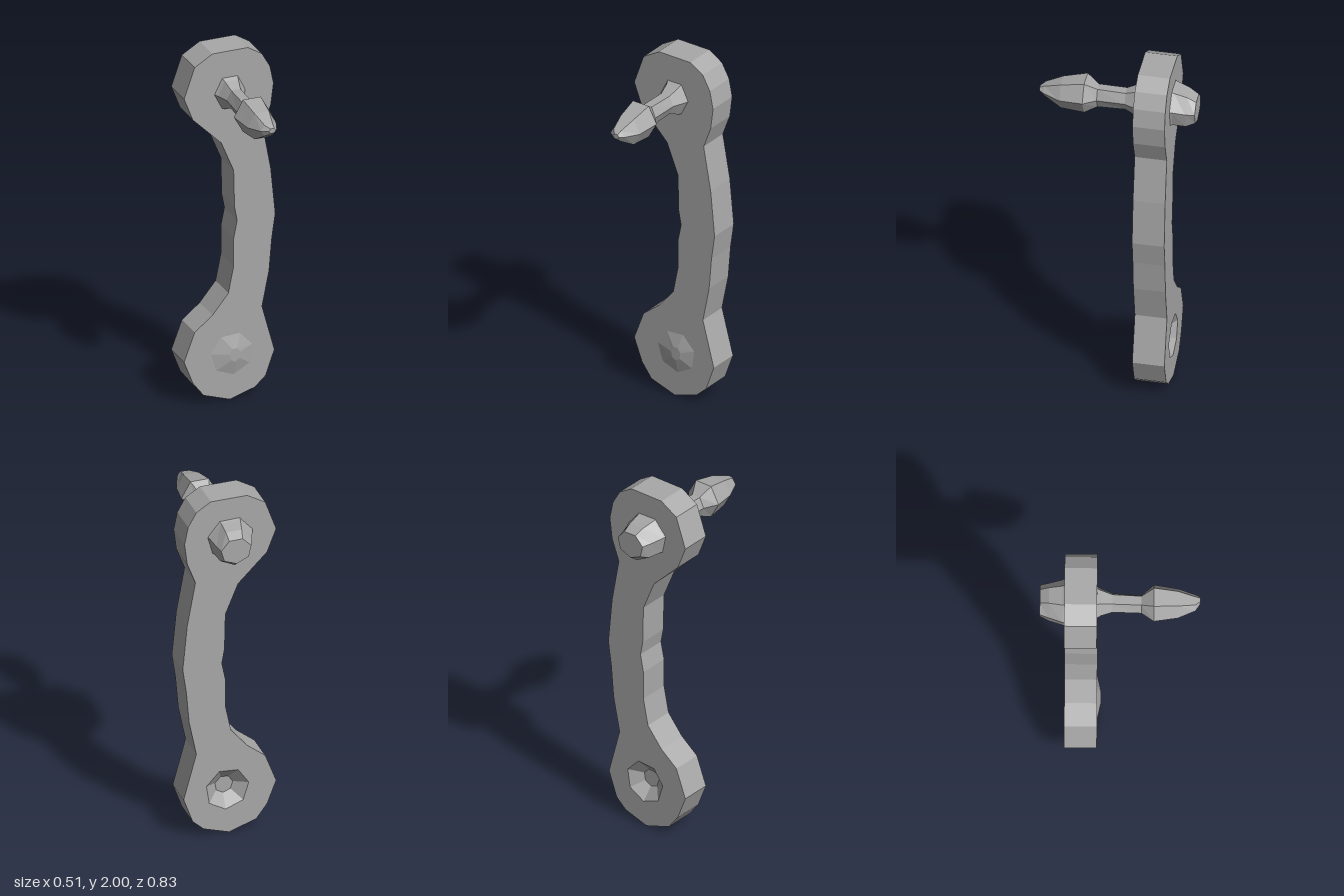
import * as THREE from 'three';

const grey = new THREE.MeshStandardMaterial({ color: 0xa8a8a8 });
grey.name = 'grey';

// Points of one faceted ring: [z, xMin, xMax, yMin, yMax]
function ringPoints([z, x0, x1, y0, y1], sides, turn) {
  return Array.from({ length: sides }, (_, i) => {
    const a = (i / sides) * Math.PI * 2 + turn;
    return [(x0 + x1) / 2 + ((x1 - x0) / 2) * Math.cos(a), (y0 + y1) / 2 + ((y1 - y0) / 2) * Math.sin(a), z];
  });
}

// Flat-faceted solid through a series of rings, capped at both ends
function loft(name, rings, sides, turn = 0) {
  const loops = rings.map((r) => ringPoints(r, sides, turn));
  const pos = [];
  const tri = (a, b, c) => pos.push(...a, ...b, ...c);
  const last = loops[loops.length - 1];
  for (let j = 0; j < sides; j++) {
    const k = (j + 1) % sides;
    for (let i = 0; i + 1 < loops.length; i++) {
      tri(loops[i][j], loops[i][k], loops[i + 1][k]);
      tri(loops[i][j], loops[i + 1][k], loops[i + 1][j]);
    }
    if (j > 0 && k > 0) {
      tri(loops[0][0], loops[0][k], loops[0][j]);
      tri(last[0], last[j], last[k]);
    }
  }
  const geo = new THREE.BufferGeometry();
  geo.setAttribute('position', new THREE.Float32BufferAttribute(pos, 3));
  geo.computeVertexNormals();
  const mesh = new THREE.Mesh(geo, grey);
  mesh.name = name;
  return mesh;
}

export function createModel() {
  const group = new THREE.Group();
  group.name = 'crankArm';
  const back = -0.29, front = -0.12;

  // Curved arm with a rounded head at each end
  const outline = [
    [0, 0], [0.14, 0.045], [0.2, 0.1], [0.25, 0.24], [0.18, 0.5], [0.22, 0.7], [0.235, 0.88],
    [0.255, 1.02], [0.23, 1.28], [0.185, 1.53], [0.23, 1.65], [0.245, 1.77], [0.225, 1.87],
    [0.18, 1.95], [0.1, 2], [-0.1, 2], [-0.2, 1.94], [-0.26, 1.77], [-0.21, 1.64], [-0.05, 1.48],
    [0.02, 1.31], [0.025, 1.1], [0.04, 1.02], [0.02, 0.92], [0.02, 0.76], [-0.01, 0.61],
    [-0.1, 0.5], [-0.2, 0.42], [-0.26, 0.26], [-0.21, 0.13], [-0.15, 0.05],
  ];
  const shape = new THREE.Shape(outline.map(([x, y]) => new THREE.Vector2(x, y)));
  const socket = [-0.11, 0.13, 0.14, 0.38];
  const hole = ringPoints([0, ...socket], 7, 0.3).map(([x, y]) => new THREE.Vector2(x, y));
  shape.holes.push(new THREE.Path(hole));
  const armGeo = new THREE.ExtrudeGeometry(shape, { depth: front - back, bevelEnabled: false });
  armGeo.translate(0, 0, back);
  const arm = new THREE.Mesh(armGeo, grey);
  arm.name = 'arm';
  group.add(arm);

  // Axle socket: sunken dish behind, shallow bump in front
  group.add(loft('axleSocket', [
    [-0.235, -0.04, 0.06, 0.21, 0.31],
    [back, ...socket],
    [front, ...socket],
    [-0.1, -0.01, 0.05, 0.22, 0.3],
  ], 7, 0.3));

  // Handle: flared foot, thin neck, pointed grip
  group.add(loft('handle', [
    [-0.13, -0.095, 0.09, 1.66, 1.87],
    [-0.1, -0.075, 0.075, 1.67, 1.85],
    [-0.04, -0.055, 0.05, 1.7, 1.82],
    [0.11, -0.057, 0.042, 1.69, 1.82],
    [0.175, -0.105, 0.097, 1.66, 1.87],
    [0.3, -0.082, 0.08, 1.67, 1.84],
    [0.39, -0.045, 0.045, 1.73, 1.8],
    [0.415, -0.01, 0.03, 1.755, 1.785],
  ], 6, 0));

  // Bolt head on the back
  group.add(loft('boltHead', [
    [-0.418, -0.08, 0.09, 1.68, 1.83],
    [-0.37, -0.1, 0.1, 1.645, 1.86],
    [-0.3, -0.13, 0.115, 1.65, 1.88],
    [-0.28, -0.135, 0.125, 1.64, 1.89],
  ], 7, 0.2));

  return group;
}
